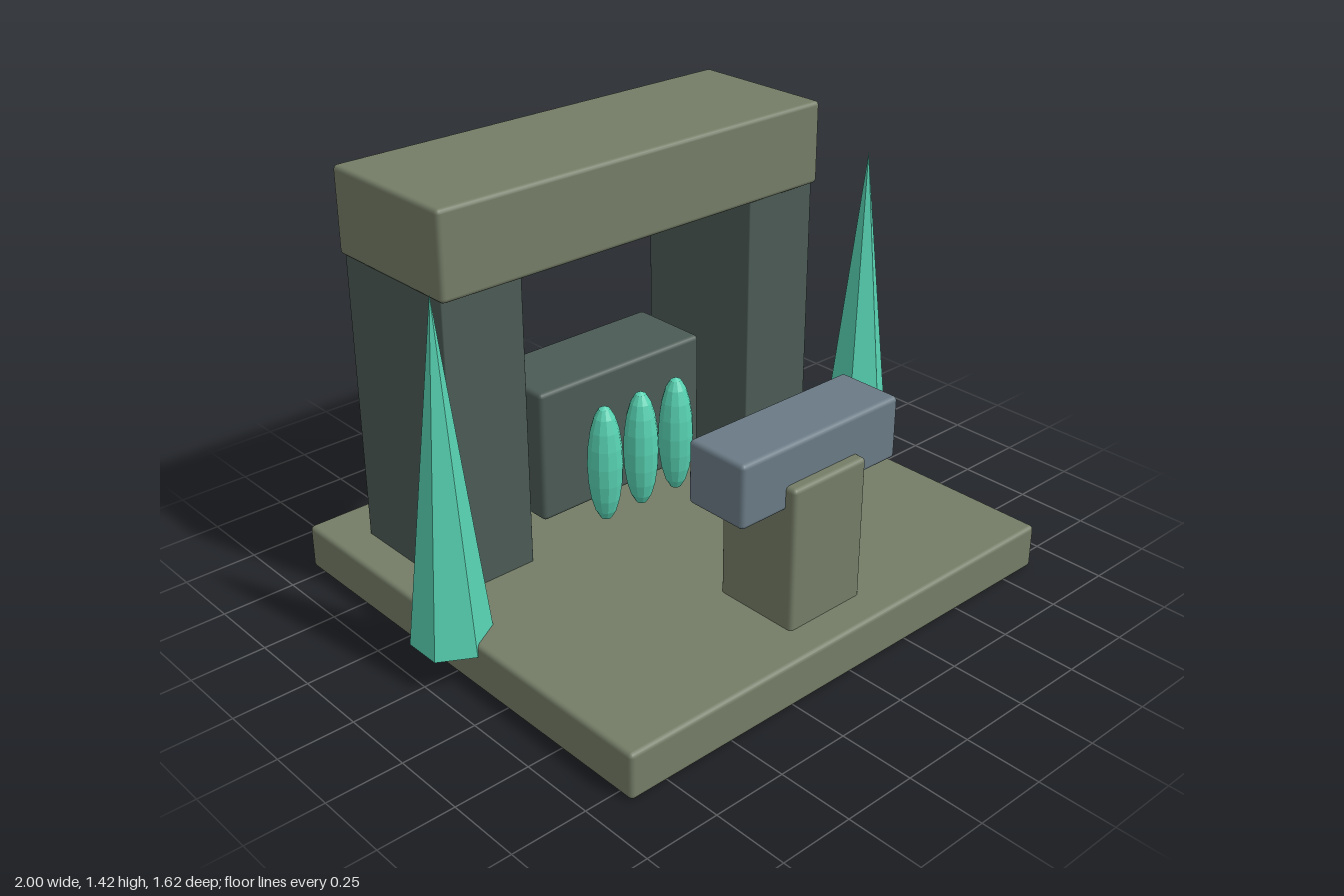
import * as THREE from 'three';
import { RoundedBoxGeometry } from 'three/addons/geometries/RoundedBoxGeometry.js';

const paint = (name, color) => {
  const m = new THREE.MeshStandardMaterial({ color });
  m.name = name;
  return m;
};

export function createModel() {
  const group = new THREE.Group();
  const olive = paint('olive stone', 0x747c66);
  const dark = paint('dark stone', 0x4b5a54);
  const slate = paint('slate blue', 0x6a7a85);
  const green = paint('crystal green', 0x57d1b1);
  green.flatShading = true;

  const add = (name, geometry, material, x, y, z) => {
    const mesh = new THREE.Mesh(geometry, material);
    mesh.name = name;
    mesh.position.set(x, y, z);
    group.add(mesh);
    return mesh;
  };
  // Block with softened edges, placed by its centre and bottom height
  const block = (name, material, [w, h, d], [x, bottom, z], r = 0.015) =>
    add(name, new RoundedBoxGeometry(w, h, d, 2, r), material, x, bottom + h / 2, z);

  // Platform and gateway
  block('platform', olive, [1.77, 0.155, 1.615], [0, 0, 0]);
  block('lintel', olive, [1.54, 0.285, 0.535], [0, 1.135, -0.385]);
  for (const [side, s] of [['left', 1], ['right', -1]]) {
    block(side + 'Pillar', dark, [0.29, 1.14, 0.495], [s * 0.617, 0.005, -0.385], 0.004);
  }

  // Floating block inside the gateway
  block('innerBlock', dark, [0.685, 0.46, 0.29], [0, 0.2, -0.385]);

  // Pedestal with its crossbar
  block('pedestal', olive, [0.305, 0.5, 0.3], [0, 0.135, 0.54]);
  block('crossbar', slate, [0.655, 0.21, 0.225], [0, 0.555, 0.54]);

  // Row of slim faceted pods
  for (const i of [-1, 0, 1]) {
    add('pod', new THREE.SphereGeometry(1, 12, 10), green, i * 0.155, 0.385, -0.152)
      .scale.set(0.06, 0.21, 0.06);
  }

  // Six-sided spires beside the platform
  for (const [side, s] of [['left', 1], ['right', -1]]) {
    add(side + 'Spire', new THREE.ConeGeometry(0.127, 1.125, 6), green, s * 0.89, 0.6825, 0);
  }
  return group;
}
